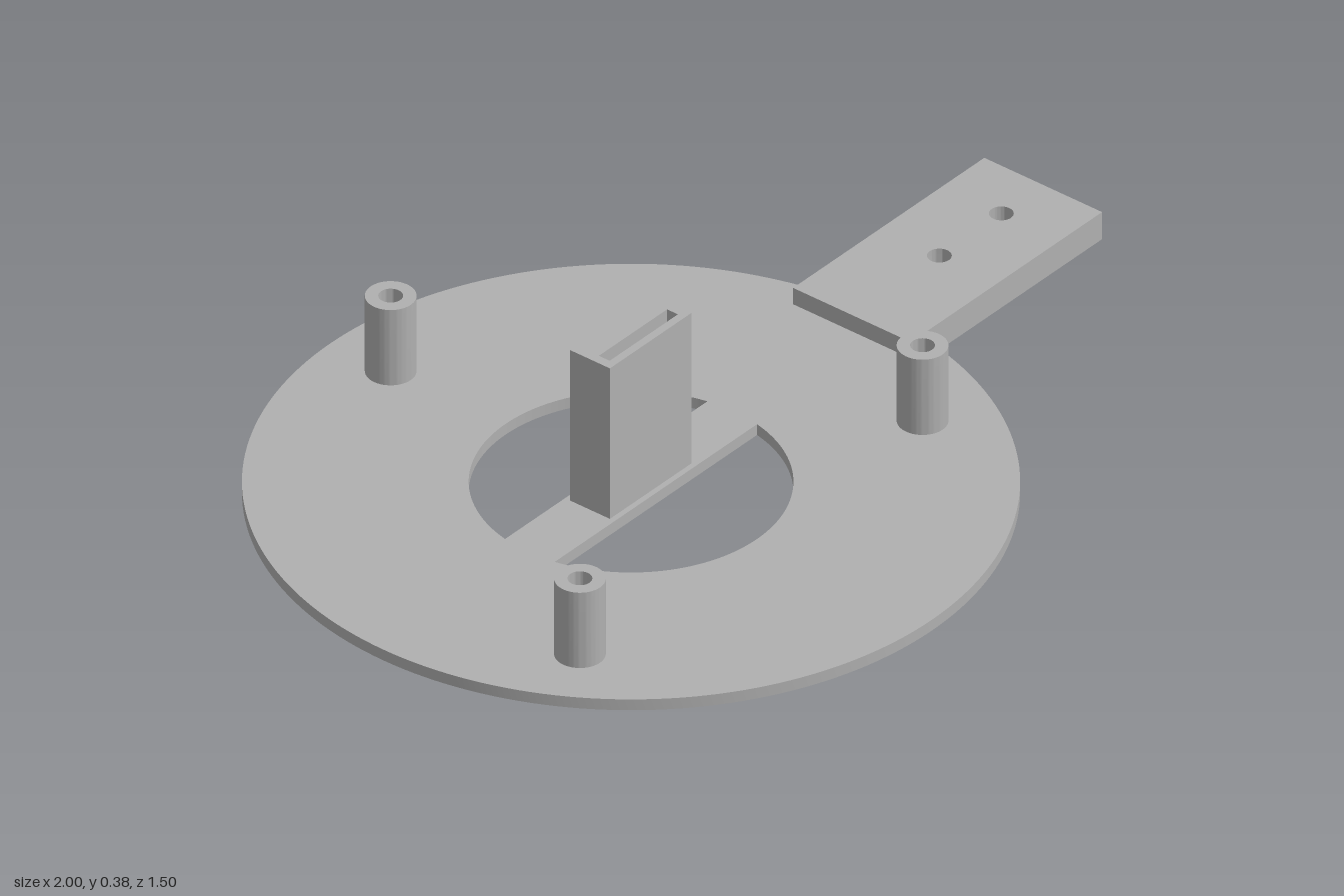
import * as THREE from 'three';
import { toCreasedNormals } from 'three/addons/utils/BufferGeometryUtils.js';

const CX = -0.25; // centre of the disc
const HOLE_R = 0.024;

// Shapes are drawn in plan: shape x = model x, shape y = -z
function arcPath(x, y, r, a0 = 0, a1 = Math.PI * 2, Type = THREE.Path) {
  return new Type().absarc(x, y, r, a0, a1, false);
}

function rect(x0, x1, y0, y1, Type = THREE.Path) {
  const p = new Type();
  p.moveTo(x0, y0);
  p.lineTo(x1, y0);
  p.lineTo(x1, y1);
  p.lineTo(x0, y1);
  p.closePath();
  return p;
}

export function createModel() {
  const group = new THREE.Group();
  const material = new THREE.MeshStandardMaterial({ color: 0xb0b0b0 });
  material.name = 'grey plastic';

  // Extrudes a plan shape from y0 up to y1
  function slab(name, shape, holes, y0, y1, curveSegments = 32) {
    shape.holes.push(...holes);
    const geo = new THREE.ExtrudeGeometry(shape, { depth: y1 - y0, bevelEnabled: false, curveSegments });
    geo.rotateX(-Math.PI / 2).translate(0, y0, 0);
    const mesh = new THREE.Mesh(toCreasedNormals(geo, 0.5), material);
    mesh.name = name;
    group.add(mesh);
  }

  // Three posts evenly spaced around the disc
  const posts = [90, 210, 330].map((deg) => {
    const a = THREE.MathUtils.degToRad(deg);
    return [CX + 0.6 * Math.cos(a), 0.6 * Math.sin(a)];
  });

  // Disc with two half-round openings that leave a bar across the middle
  const a = Math.asin(0.062 / 0.313);
  slab('basePlate', arcPath(CX, 0, 0.75, 0, Math.PI * 2, THREE.Shape), [
    arcPath(CX, 0, 0.313, a, Math.PI - a),
    arcPath(CX, 0, 0.313, Math.PI + a, 2 * Math.PI - a),
    arcPath(CX, 0, 0.037),
    ...posts.map(([x, y]) => arcPath(x, y, HOLE_R)),
  ], 0, 0.025, 96);

  // Hollow posts
  for (const [x, y] of posts) {
    slab('post', arcPath(x, y, 0.05, 0, Math.PI * 2, THREE.Shape), [arcPath(x, y, HOLE_R)], 0.025, 0.2);
  }

  // Upright holder with a slot running down to the bar
  slab('slottedHolder', rect(-0.375, -0.128, -0.05, 0.05, THREE.Shape),
    [rect(-0.355, -0.148, -0.033, -0.006)], 0.025, 0.375);

  // Mounting tab with two screw holes
  slab('mountingTab', rect(0.42, 1, -0.147, 0.147, THREE.Shape),
    [arcPath(0.685, 0, HOLE_R), arcPath(0.873, 0, HOLE_R)], 0, 0.063);

  return group;
}
